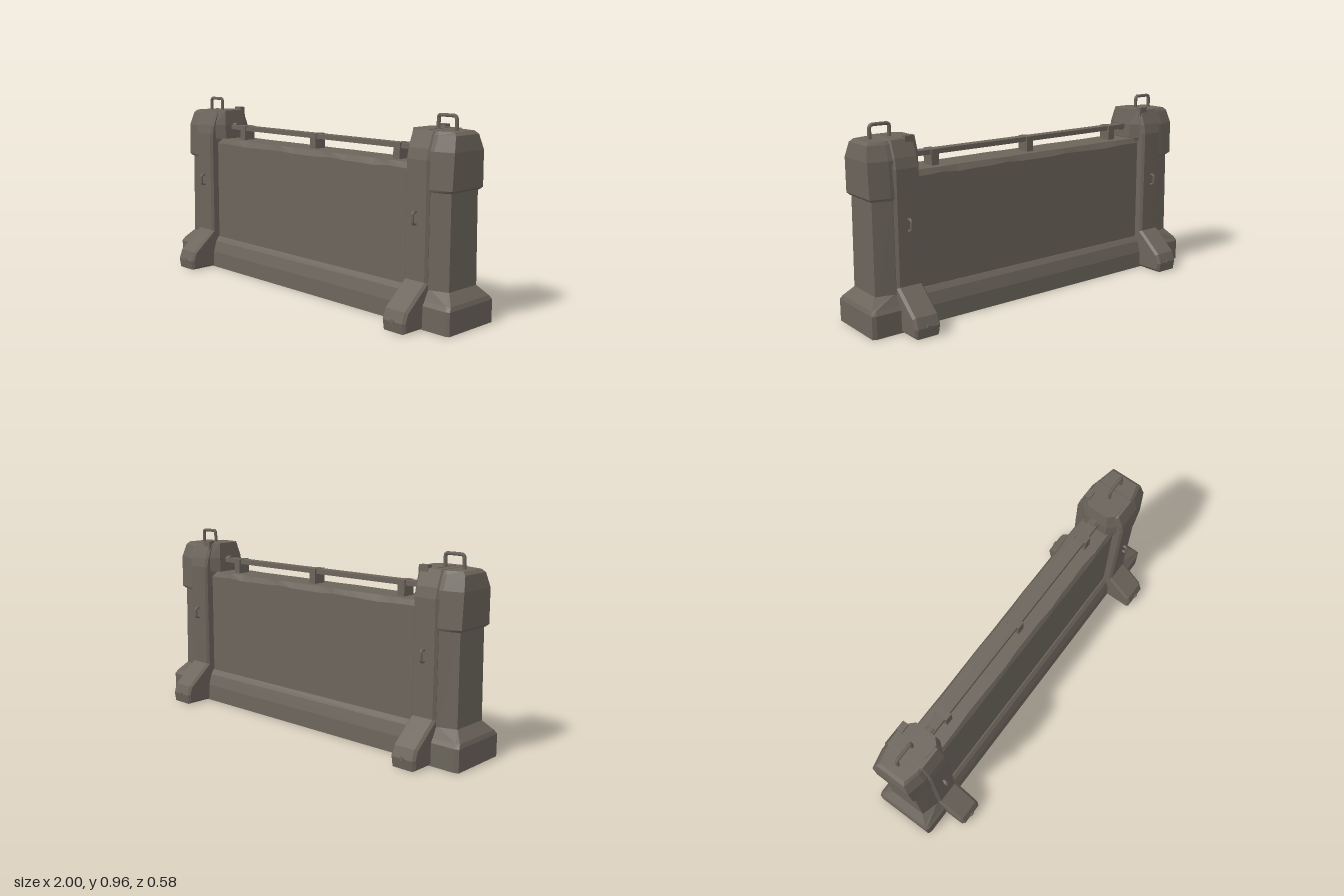
import * as THREE from 'three';

const concrete = new THREE.MeshStandardMaterial({ color: 0x6b645b });
concrete.name = 'weathered concrete';

function part(parent, name, geometry, x = 0, y = 0, z = 0) {
  const mesh = new THREE.Mesh(geometry, concrete);
  mesh.name = name;
  mesh.position.set(x, y, z);
  parent.add(mesh);
  return mesh;
}

// Joins convex rings of points into a closed, faceted solid.
function loft(rings) {
  const n = rings[0].length;
  const pos = [];
  const tri = (a, b, c) => pos.push(...a, ...b, ...c);
  for (let r = 0; r < rings.length - 1; r++) {
    const lo = rings[r], hi = rings[r + 1];
    for (let i = 0; i < n; i++) {
      const j = (i + 1) % n;
      tri(lo[i], lo[j], hi[j]);
      tri(lo[i], hi[j], hi[i]);
    }
  }
  const first = rings[0], last = rings[rings.length - 1];
  for (let i = 1; i < n - 1; i++) {
    tri(first[0], first[i + 1], first[i]);
    tri(last[0], last[i], last[i + 1]);
  }
  const g = new THREE.BufferGeometry();
  g.setAttribute('position', new THREE.Float32BufferAttribute(pos, 3));
  g.computeVertexNormals();
  return g;
}

// Eight-sided plan at height y: inner end, two shoulders, outer end.
function plan(y, x0, xa, xb, x1, z0, zm, z1) {
  return [[x1, z1], [x1, -z1], [xb, -zm], [xa, -zm], [x0, -z0], [x0, z0], [xa, zm], [xb, zm]]
    .map(([x, z]) => [x, y, z]);
}

// Symmetric z-y profile carried along x; half goes from top to bottom.
function section(x, half) {
  const back = half.slice().reverse().map(([z, y]) => [-z, y]);
  return [...half, ...back].map(([z, y]) => [x, y, z]);
}

function loop(points, radius) {
  const curve = new THREE.CatmullRomCurve3(
    points.map(p => new THREE.Vector3(...p)), false, 'catmullrom', 0.15);
  return new THREE.TubeGeometry(curve, 28, radius, 6);
}

function ribGeometry() {
  const half = [[0.28, 0], [0.288, 0.05], [0.27, 0.1], [0.14, 0.21],
    [0.14, 0.76], [0.13, 0.81], [0.1, 0.888]];
  const outline = [...half, ...half.slice().reverse().map(([z, y]) => [-z, y])];
  const shape = new THREE.Shape(outline.map(([z, y]) => new THREE.Vector2(z, y)));
  const bevel = 0.012;
  const g = new THREE.ExtrudeGeometry(shape, {
    depth: 0.135 - 2 * bevel, bevelEnabled: true, bevelSize: bevel,
    bevelThickness: bevel, bevelOffset: -bevel, bevelSegments: 1,
  });
  g.rotateY(-Math.PI / 2);
  g.computeBoundingBox();
  g.translate(-(g.boundingBox.min.x + g.boundingBox.max.x) / 2, 0, 0);
  return g;
}

function buildPillar(side) {
  const pillar = new THREE.Group();
  pillar.name = side > 0 ? 'leftPillar' : 'rightPillar';

  part(pillar, 'buttressRib', ribGeometry(), 0.785);
  part(pillar, 'pillarCore', loft([
    plan(0.1, 0.74, 0.76, 0.855, 0.95, 0.1, 0.127, 0.1),
    plan(0.66, 0.74, 0.76, 0.855, 0.945, 0.1, 0.125, 0.094),
  ]));
  part(pillar, 'endFoot', loft([
    plan(0, 0.74, 0.76, 0.98, 1, 0.12, 0.163, 0.155),
    plan(0.11, 0.74, 0.76, 0.98, 1, 0.12, 0.163, 0.155),
    plan(0.13, 0.74, 0.76, 0.975, 0.992, 0.12, 0.15, 0.14),
    plan(0.178, 0.74, 0.76, 0.87, 0.95, 0.1, 0.125, 0.098),
  ]));
  part(pillar, 'pillarCap', loft([
    plan(0.62, 0.74, 0.76, 0.87, 0.95, 0.09, 0.127, 0.102),
    plan(0.632, 0.74, 0.76, 0.87, 0.962, 0.09, 0.132, 0.11),
    plan(0.8, 0.74, 0.76, 0.87, 0.965, 0.09, 0.126, 0.104),
    plan(0.87, 0.74, 0.76, 0.87, 0.952, 0.07, 0.1, 0.082),
    plan(0.885, 0.74, 0.76, 0.86, 0.935, 0.06, 0.09, 0.07),
  ]));
  // Inward shoulder that receives the rail
  part(pillar, 'innerShoulder', loft([
    plan(0.7, 0.7, 0.73, 0.76, 0.8, 0.065, 0.105, 0.1),
    plan(0.735, 0.68, 0.72, 0.76, 0.8, 0.065, 0.11, 0.1),
    plan(0.81, 0.68, 0.72, 0.76, 0.8, 0.065, 0.11, 0.1),
    plan(0.89, 0.69, 0.72, 0.76, 0.8, 0.055, 0.085, 0.08),
  ]));
  part(pillar, 'topClamp', new THREE.BoxGeometry(0.05, 0.05, 0.032), 0.745, 0.877, -0.09 * side);

  // Lifting handles
  part(pillar, 'topHandle', loop([
    [0.79, 0.875, 0], [0.79, 0.94, 0], [0.798, 0.95, 0],
    [0.88, 0.95, 0], [0.89, 0.938, 0], [0.892, 0.87, 0]], 0.009));
  for (const s of [1, -1]) {
    part(pillar, 'sideHandle', loop([
      [0.785, 0.472, 0.13 * s], [0.785, 0.472, 0.155 * s], [0.785, 0.48, 0.162 * s],
      [0.785, 0.518, 0.162 * s], [0.785, 0.526, 0.155 * s], [0.785, 0.526, 0.13 * s]], 0.007));
    const bolt = part(pillar, 'footBolt',
      new THREE.CylinderGeometry(0.012, 0.012, 0.012, 8), 0.785, 0.05, 0.286 * s);
    bolt.rotation.x = Math.PI / 2;
  }
  if (side < 0) pillar.rotation.y = Math.PI;
  return pillar;
}

export function createModel() {
  const model = new THREE.Group();
  model.name = 'concreteBarrier';

  // Wall panel with a slightly worn top edge
  const wall = [];
  for (let i = 0; i <= 16; i++) {
    const x = -0.76 + i * 0.095;
    const wear = 0.006 * Math.sin(i * 2.3) * Math.cos(i * 0.9);
    wall.push(section(x, [[0.078 + wear, 0.733], [0.092, 0.705 + wear], [0.095, 0.1]]));
  }
  part(model, 'wallPanel', loft(wall));

  // Sloping kerb along the foot of the wall
  const kerb = [[0.1, 0.17], [0.118, 0.145], [0.135, 0.085], [0.138, 0]];
  part(model, 'wallKerb', loft([section(-0.78, kerb), section(0.78, kerb)]));

  // Flat top rail and its brackets
  part(model, 'topRail', new THREE.BoxGeometry(1.38, 0.024, 0.05), 0, 0.796, -0.003);
  for (const x of [-0.57, 0, 0.57]) {
    part(model, 'railBracket', new THREE.BoxGeometry(0.04, 0.085, 0.07), x, 0.767, -0.003);
  }
  for (const s of [1, -1]) {
    const collar = part(model, 'railCollar',
      new THREE.CylinderGeometry(0.023, 0.023, 0.03, 12), 0.668 * s, 0.796, -0.003);
    collar.rotation.z = Math.PI / 2;
    model.add(buildPillar(s));
  }
  return model;
}
